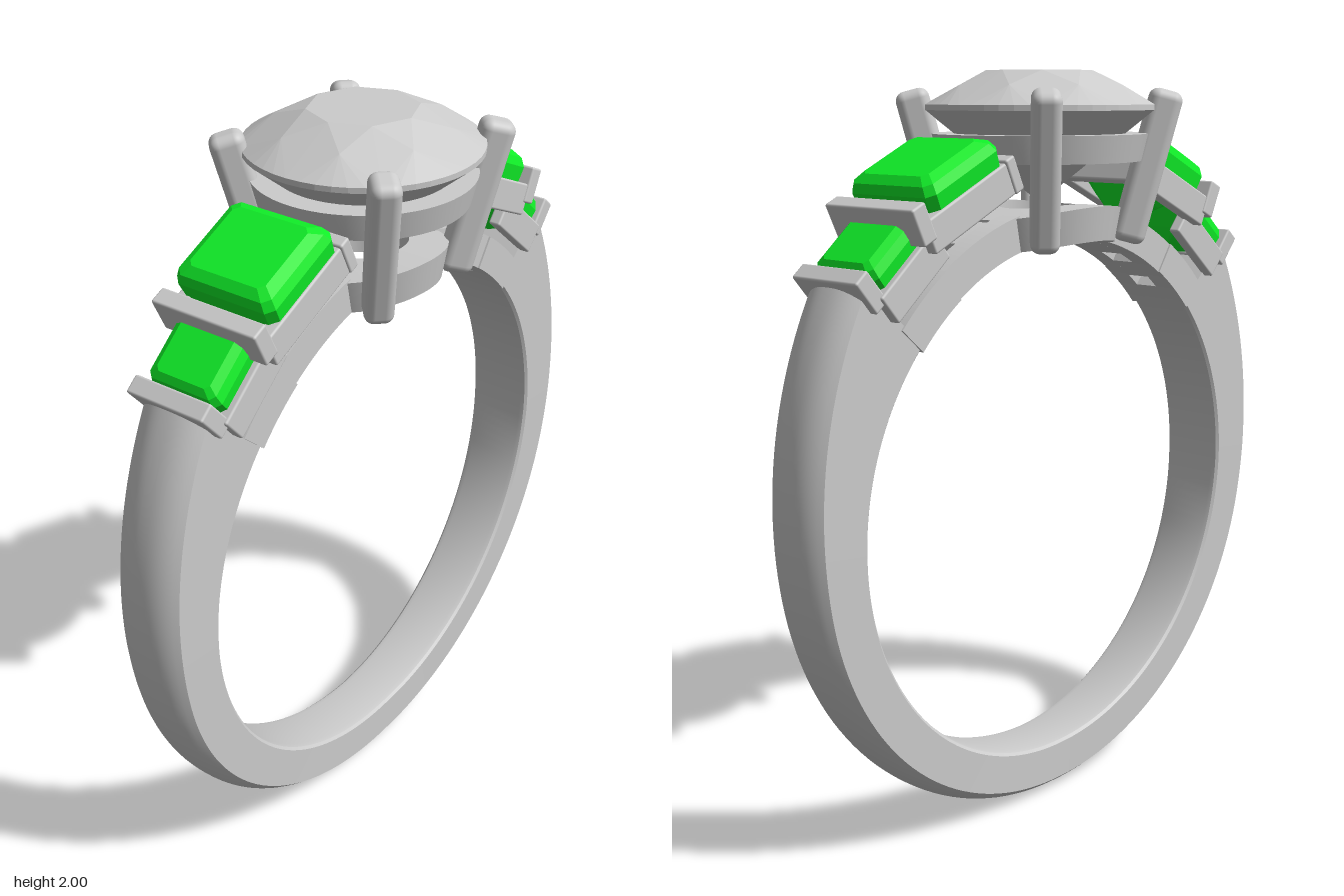
import * as THREE from 'three';
import { toCreasedNormals } from 'three/addons/utils/BufferGeometryUtils.js';
import { RoundedBoxGeometry } from 'three/addons/geometries/RoundedBoxGeometry.js';
import { ConvexGeometry } from 'three/addons/geometries/ConvexGeometry.js';

const CY = 0.86;   // centre height of the finger hole
const RI = 0.71;   // finger hole radius
const metal = new THREE.MeshStandardMaterial({ color: 0xcccccc });
const clear = new THREE.MeshStandardMaterial({ color: 0xcccccc, flatShading: true });
const green = new THREE.MeshStandardMaterial({ color: 0x10ee28, flatShading: true });
const V = (x, y, z) => new THREE.Vector3(x, y, z);

function add(parent, name, geometry, material = metal) {
  const mesh = new THREE.Mesh(geometry, material);
  mesh.name = name;
  parent.add(mesh);
  return mesh;
}

function box(parent, name, x0, x1, y0, y1, z0, z1) {
  const g = new RoundedBoxGeometry(x1 - x0, y1 - y0, z1 - z0, 2, 0.006);
  g.translate((x0 + x1) / 2, (y0 + y1) / 2, (z0 + z1) / 2);
  return add(parent, name, g);
}

// Sweeps a closed (radius, z) section around the finger hole; angles in degrees from the top
function sweep(section, from, to, steps) {
  const pos = [], idx = [];
  const n = section(from).length;
  for (let i = 0; i <= steps; i++) {
    const deg = from + (to - from) * i / steps;
    const a = THREE.MathUtils.degToRad(deg);
    for (const [r, z] of section(deg)) pos.push(r * Math.sin(a), CY + r * Math.cos(a), z);
  }
  for (let i = 0; i < steps; i++) {
    for (let j = 0; j < n; j++) {
      const a = i * n + j, b = i * n + (j + 1) % n;
      idx.push(a, b, a + n, b, b + n, a + n);
    }
  }
  const last = steps * n;
  for (let j = 1; j < n - 1; j++) {
    idx.push(0, j + 1, j, last, last + j, last + j + 1);
  }
  const g = new THREE.BufferGeometry();
  g.setAttribute('position', new THREE.Float32BufferAttribute(pos, 3));
  g.setIndex(idx);
  return toCreasedNormals(g, 0.5);
}

// Shank section: flat sides, domed outside, softened inner edges, thicker at the shoulders
function shankSection(deg) {
  const phi = Math.abs(180 - deg);
  const ro = 0.855 + 0.02 * (phi / 90) ** 2 + 0.086 * (Math.max(0, phi - 80) / 53) ** 2;
  const w = 0.08 + 0.015 * Math.min(1, phi / 90);
  const pts = [[RI, -w + 0.02], [RI + 0.003, -w + 0.007], [RI + 0.01, -w]];
  for (let i = 0; i <= 14; i++) {
    const u = i / 7 - 1;
    pts.push([ro - 0.032 * Math.abs(u) ** 2.5, w * u]);
  }
  pts.push([RI + 0.01, w], [RI + 0.003, w - 0.007], [RI, w - 0.02]);
  return pts;
}

const strip = (z0, z1, r1 = 0.8) => () => [[RI, z0], [r1, z0], [r1, z1], [RI, z1]];

// Step-cut stone from rectangular layers [y, halfX, halfZ] with clipped corners
function stepCut(layers) {
  const pts = [];
  for (const [y, hx, hz] of layers) {
    const c = Math.min(hx, hz) * 0.15;
    for (const sx of [-1, 1]) for (const sz of [-1, 1]) {
      pts.push(V(sx * hx, y, sz * (hz - c)), V(sx * (hx - c), y, sz * hz));
    }
  }
  return new ConvexGeometry(pts);
}

// Round brilliant: table, kite corners, girdle, culet
function brilliant() {
  const pts = [V(0, 1.66, 0)];
  const ring = (n, r, y, turn) => {
    for (let i = 0; i < n; i++) {
      const a = (i + turn) / n * Math.PI * 2;
      pts.push(V(r * Math.sin(a), y, r * Math.cos(a)));
    }
  };
  ring(8, 0.14, 2.0, 0);
  ring(8, 0.225, 1.963, 0.5);
  ring(48, 0.3, 1.914, 0);
  ring(48, 0.3, 1.9, 0);
  ring(8, 0.14, 1.772, 0.5);
  return new ConvexGeometry(pts);
}

// Ring of rectangular section with sloping outside, around the vertical axis
function collar(rIn, rBottom, rTop, y0, y1) {
  const p = [[rIn, y0], [rBottom, y0], [rTop, y1], [rIn, y1], [rIn, y0]];
  return new THREE.LatheGeometry(p.map(([r, y]) => new THREE.Vector2(r, y)), 64);
}

// One side of the band: stone channels and the gallery strip below them
function shoulder() {
  const side = new THREE.Group();

  const big = new THREE.Group();
  big.name = 'innerSetting';
  big.position.set(0.42, 1.71, 0);
  big.rotation.z = THREE.MathUtils.degToRad(-25);
  const innerStone = add(big, 'innerStone', stepCut([[-0.12, 0.025, 0.04], [-0.08, 0.055, 0.08],
    [0, 0.13, 0.143], [0.045, 0.132, 0.148], [0.068, 0.122, 0.138], [0.083, 0.098, 0.112]]), green);
  innerStone.position.x = -0.02;
  box(big, 'innerBar', -0.178, -0.145, -0.08, 0.012, -0.155, 0.155);
  box(big, 'middleBar', 0.137, 0.184, -0.045, 0.052, -0.155, 0.155);

  const small = new THREE.Group();
  small.name = 'outerSetting';
  small.position.set(0.595, 1.545, 0);
  small.rotation.z = THREE.MathUtils.degToRad(-40);
  const outerStone = add(small, 'outerStone', stepCut([[-0.07, 0.02, 0.03], [-0.04, 0.06, 0.07],
    [0, 0.103, 0.104], [0.035, 0.104, 0.108], [0.058, 0.096, 0.1], [0.07, 0.078, 0.08]]), green);
  outerStone.position.x = -0.018;
  box(small, 'outerBar', 0.087, 0.135, -0.02, 0.08, -0.115, 0.115);

  for (const s of [-1, 1]) {
    const rail = (g, x0, x1, w, t) => box(g, 'rail', x0, x1, -0.08, 0.005,
      s > 0 ? w - t : -w, s > 0 ? w : t - w);
    rail(big, -0.16, 0.155, 0.15, 0.04);
    rail(small, -0.12, 0.105, 0.122, 0.035);
    // Gallery side walls, a little wider next to the shank
    for (const [a, b, w] of [[13, 34, 0.095], [34, 48, 0.1]]) {
      const section = s > 0 ? strip(0.035, w) : strip(-w, -0.035);
      add(side, 'galleryWall', sweep(section, a, b, 10));
    }
  }
  // Bridges leave small windows beneath each stone
  for (const [a, b] of [[13, 25], [30, 37], [41, 48]]) {
    add(side, 'galleryBridge', sweep(strip(-0.04, 0.04, 0.79), a, b, 5));
  }
  side.add(big, small);
  return side;
}

export function createModel() {
  const model = new THREE.Group();
  model.name = 'ring';

  add(model, 'shank', sweep(shankSection, 47, 313, 120));

  const left = shoulder();
  left.name = 'leftShoulder';
  const right = shoulder();
  right.name = 'rightShoulder';
  right.rotation.y = Math.PI;
  model.add(left, right);

  // Head: two collars, four claws and the centre stone
  const head = new THREE.Group();
  head.name = 'head';
  model.add(head);
  add(head, 'centreStone', brilliant(), clear);
  add(head, 'upperCollar', toCreasedNormals(collar(0.2, 0.268, 0.285, 1.77, 1.84), 0.5));

  // The lower collar bends to follow the finger hole
  const lower = collar(0.115, 0.2, 0.215, 1.57, 1.66);
  const p = lower.attributes.position;
  for (let i = 0; i < p.count; i++) {
    p.setY(i, p.getY(i) + Math.sqrt(RI * RI - p.getX(i) ** 2) - RI);
  }
  add(head, 'lowerCollar', toCreasedNormals(lower, 0.5));

  const bottom = V(0, 1.555, 0.232), top = V(0, 1.95, 0.337);
  const length = top.distanceTo(bottom);
  for (let i = 0; i < 4; i++) {
    const arm = new THREE.Group();
    arm.name = 'clawArm';
    arm.rotation.y = Math.PI / 4 + i * Math.PI / 2;
    const claw = add(arm, 'claw', new RoundedBoxGeometry(0.075, length, 0.088, 4, 0.025));
    claw.position.copy(bottom).lerp(top, 0.5);
    claw.rotation.x = Math.atan2(top.z - bottom.z, top.y - bottom.y);
    head.add(arm);
  }
  return model;
}
